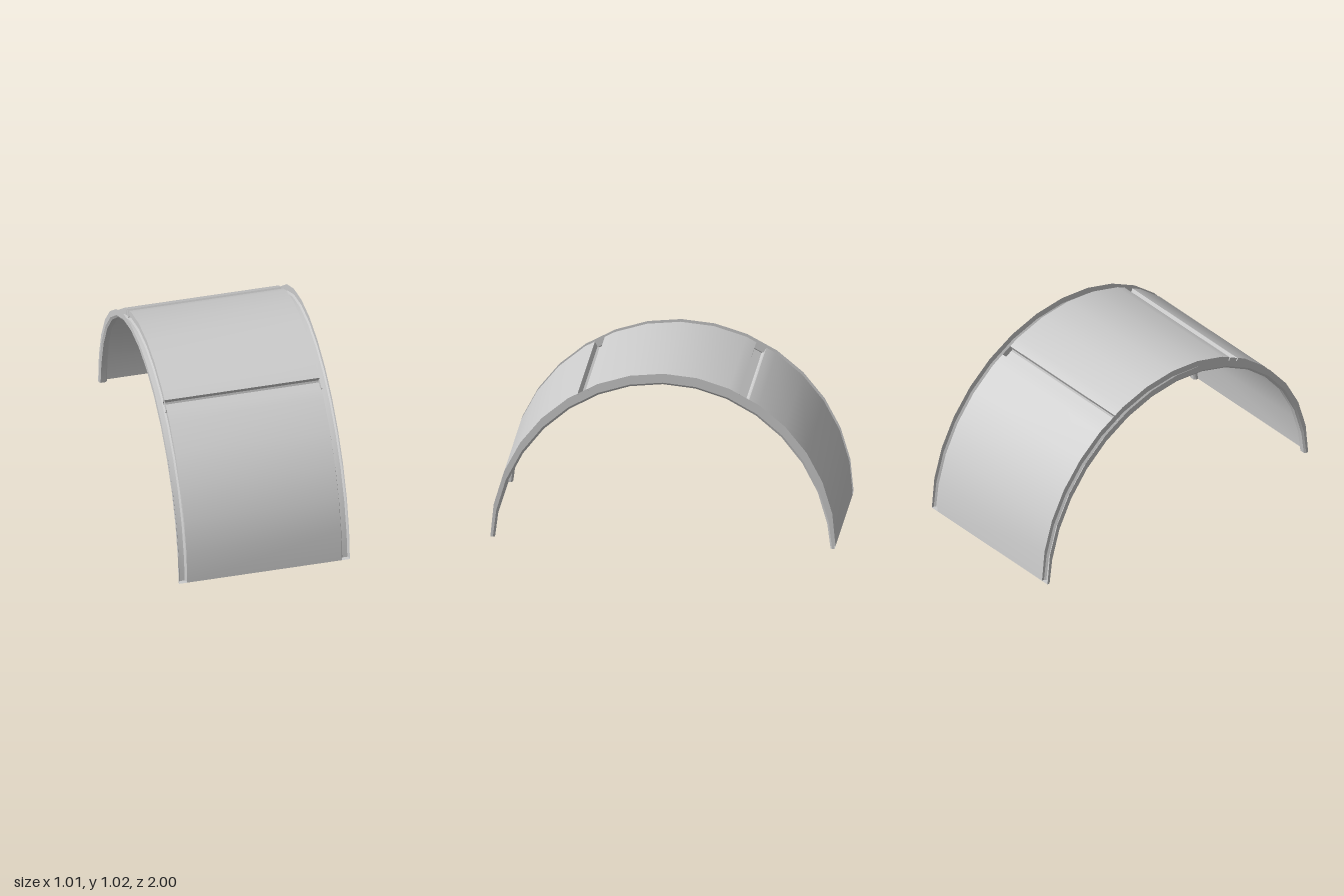
import * as THREE from 'three';
import { mergeGeometries } from 'three/addons/utils/BufferGeometryUtils.js';

const SEGMENTS = 16;
const HEIGHT = 1.017;
const material = new THREE.MeshStandardMaterial({ color: 0xcccccc, side: THREE.DoubleSide });
const V = (x, y, z) => new THREE.Vector3(x, y, z);

// One bent strip between two rows of points: smooth along the rows.
function strip(rowA, rowB) {
  const index = [];
  for (let i = 0; i < rowA.length - 1; i++) {
    const a = 2 * i;
    index.push(a, a + 1, a + 2, a + 1, a + 3, a + 2);
  }
  const geometry = new THREE.BufferGeometry().setFromPoints(rowA.flatMap((p, i) => [p, rowB[i]]));
  geometry.setIndex(index);
  geometry.computeVertexNormals();
  return geometry;
}

// Folded sheet: a sharp crease at every row.
function sheet(rows) {
  return mergeGeometries(rows.slice(1).map((row, i) => strip(rows[i], row)));
}

function addMesh(parent, name, geometry) {
  const mesh = new THREE.Mesh(geometry, material);
  mesh.name = name;
  parent.add(mesh);
}

// Arch line from front foot to back foot, cut off at the ground.
function archLine(x, radius, drop) {
  return Array.from({ length: SEGMENTS + 1 }, (_, i) => {
    const angle = Math.PI * (0.5 - i / SEGMENTS);
    return V(x, Math.max(0, HEIGHT * Math.cos(angle) - drop), radius * Math.sin(angle));
  });
}

export function createModel() {
  const group = new THREE.Group();
  group.name = 'archedCover';

  // Curved panels, parted by a groove in the middle of two facets
  const panelHalf = 0.459, grooveHalf = 0.033;
  const line = archLine(0, 1, 0);
  const grooveFacets = [5, 10];
  const runs = [[line[0]]];
  for (let i = 0; i < SEGMENTS; i++) {
    if (grooveFacets.includes(i)) {
      const middle = line[i].clone().lerp(line[i + 1], 0.5);
      const along = line[i + 1].clone().sub(line[i]).normalize();
      runs.at(-1).push(middle.clone().addScaledVector(along, -grooveHalf));
      runs.push([middle.clone().addScaledVector(along, grooveHalf)]);
    }
    runs.at(-1).push(line[i + 1]);
  }
  ['frontPanel', 'topPanel', 'backPanel'].forEach((name, k) => {
    const shifted = (x) => runs[k].map((p) => V(x, p.y, p.z));
    addMesh(group, name, strip(shifted(panelHalf), shifted(-panelHalf)));
  });

  // Cross grooves: chamfered channels folded inward between the panels
  const grooveProfile = [[-0.033, 0], [-0.033, -0.033], [-0.024, -0.043],
    [0.024, -0.043], [0.033, -0.033], [0.033, 0]];
  grooveFacets.forEach((i, k) => {
    const middle = line[i].clone().lerp(line[i + 1], 0.5);
    const along = line[i + 1].clone().sub(line[i]).normalize();
    const outward = V(0, -along.z, along.y);
    const rows = grooveProfile.map(([u, n]) => {
      const p = middle.clone().addScaledVector(along, u).addScaledVector(outward, n);
      return [V(-0.464, p.y, p.z), V(0.464, p.y, p.z)];
    });
    addMesh(group, k ? 'backGroove' : 'frontGroove', sheet(rows));
  });

  // Edge channels along both sides, with a closed foot at each end
  const channelProfile = [[0.507, 1, 0], [0.507, 0.985, 0.038], [0.498, 0.975, 0.05],
    [0.468, 0.975, 0.05], [0.459, 0.985, 0.038], [0.459, 1, 0]];
  for (const side of [1, -1]) {
    const rows = channelProfile.map(([x, radius, drop]) => archLine(side * x, radius, drop));
    const name = side > 0 ? 'left' : 'right';
    addMesh(group, name + 'EdgeChannel', sheet(rows));
    for (const end of [0, SEGMENTS]) {
      const feet = rows.map((row) => row[end]);
      addMesh(group, name + (end ? 'Back' : 'Front') + 'Foot',
        strip(feet.slice(0, 3), feet.slice(3).reverse()));
    }
  }
  return group;
}
